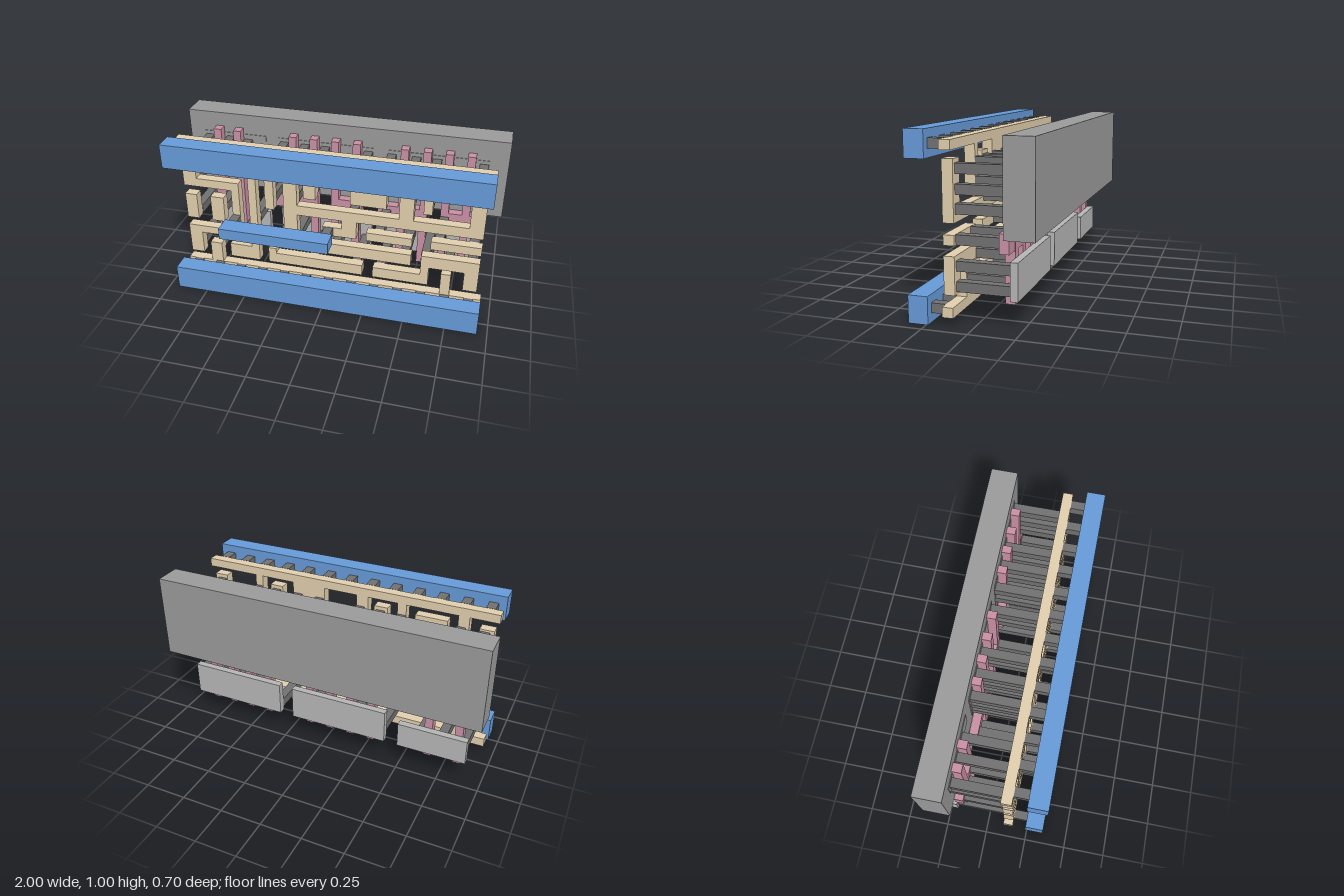
import * as THREE from 'three';

const paint = (color) => new THREE.MeshStandardMaterial({ color });

export function createModel() {
  const model = new THREE.Group();
  const mats = {
    metal: paint(0x6699d6), strap: paint(0xdfcdac), gate: paint(0xc78fa3),
    via: paint(0x707070), well: paint(0x999999), plate: paint(0xb4b4b4),
  };

  // A layer is a named group of boxes sharing one depth range; each box is [x0, x1, y0, y1]
  function layer(name, part, mat, z0, z1, rects) {
    const group = new THREE.Group();
    group.name = name;
    for (const [x0, x1, y0, y1] of rects) {
      const mesh = new THREE.Mesh(new THREE.BoxGeometry(x1 - x0, y1 - y0, z1 - z0), mat);
      mesh.position.set((x0 + x1) / 2, (y0 + y1) / 2, (z0 + z1) / 2);
      mesh.name = part;
      group.add(mesh);
    }
    model.add(group);
  }
  // Square post outline around a centre
  const post = ([x, y]) => [x - 0.027, x + 0.027, y - 0.027, y + 0.027];
  // Column of posts: one x with several heights
  const posts = (columns) => columns.flatMap(([x, ...ys]) => ys.map((y) => post([x, y])));

  // Back slab and the thin plates
  layer('backWell', 'wellBlock', mats.well, -0.35, -0.19, [[-1, 1, 0.49, 0.99]]);
  layer('upperPlates', 'upperPlate', mats.well, -0.23, -0.186, [
    [-0.907, -0.493, 0.73, 0.86], [-0.41, 0.2, 0.55, 0.86], [0.287, 0.893, 0.55, 0.86],
  ]);
  layer('lowerPlates', 'lowerPlate', mats.plate, -0.23, -0.188, [
    [-0.907, -0.493, 0.152, 0.305], [-0.41, 0.2, 0.152, 0.355], [0.287, 0.893, 0.152, 0.355],
  ]);

  // Pink gate bars with their joining pads
  const gateX = [-0.305, -0.17, -0.035, 0.1, 0.393, 0.528, 0.658, 0.787];
  layer('gates', 'gateBar', mats.gate, -0.19, -0.135, [
    ...gateX.map((x) => [x - 0.024, x + 0.024, 0.11, 0.9]),
    [-0.82, -0.77, 0.45, 0.9], [-0.87, -0.822, 0.11, 0.45], [-0.69, -0.642, 0.11, 0.9],
  ]);
  layer('gatePads', 'gatePad', mats.gate, -0.189, -0.136, [
    [-0.905, -0.775, 0.395, 0.5], [-0.75, -0.645, 0.41, 0.515], [-0.515, -0.15, 0.395, 0.49],
    [-0.055, 0.14, 0.395, 0.5], [0.24, 0.545, 0.395, 0.5], [0.64, 0.905, 0.395, 0.5],
  ]);

  // Long posts from the plates to the straps
  layer('upperPosts', 'longPost', mats.via, -0.19, 0.1, posts([
    [-0.865, 0.81, 0.67], [-0.725, 0.81], [-0.61, 0.8], [-0.37, 0.81, 0.705, 0.6],
    [-0.235, 0.81, 0.705, 0.6], [-0.105, 0.81, 0.705], [0.165, 0.81, 0.705],
    [0.31, 0.81, 0.705], [0.46, 0.81, 0.705, 0.605], [0.585, 0.81, 0.705],
    [0.86, 0.81, 0.705, 0.605],
  ]));
  layer('lowerPosts', 'longPost', mats.via, -0.19, 0.1, posts([
    [-0.865, 0.21], [-0.735, 0.21], [-0.61, 0.21], [-0.37, 0.205], [-0.235, 0.31],
    [-0.105, 0.202], [0.03, 0.31], [0.165, 0.202], [0.315, 0.202], [0.46, 0.31],
    [0.585, 0.31, 0.202], [0.72, 0.205], [0.86, 0.31, 0.202],
  ]));
  // Shorter posts standing on the gate pads
  layer('middlePosts', 'padPost', mats.via, -0.135, 0.1, posts([
    [-0.865, 0.445], [-0.705, 0.472], [-0.475, 0.445], [0.1, 0.447],
    [0.3, 0.447], [0.66, 0.447], [0.86, 0.447],
  ]));

  // Tan straps: rails, branches and bent runs
  layer('straps', 'strap', mats.strap, 0.1, 0.16, [
    // rails
    [-0.94, 0.94, 0.05, 0.105], [-0.94, 0.94, 0.905, 0.957],
    // branches off the rails
    [-0.77, -0.705, 0.765, 0.905], [-0.395, -0.34, 0.55, 0.905], [-0.155, -0.08, 0.655, 0.905],
    [0.13, 0.345, 0.655, 0.905], [0.56, 0.61, 0.655, 0.905],
    [-0.78, -0.705, 0.105, 0.245], [0.69, 0.75, 0.105, 0.255],
    // outer left run
    [-0.915, -0.83, 0.7, 0.85], [-0.915, -0.56, 0.645, 0.7], [-0.61, -0.56, 0.36, 0.645],
    [-0.915, -0.56, 0.31, 0.36], [-0.915, -0.83, 0.16, 0.31],
    // left islands
    [-0.915, -0.84, 0.415, 0.585], [-0.75, -0.665, 0.415, 0.585],
    // inner left run
    [-0.645, -0.5, 0.755, 0.855], [-0.5, -0.45, 0.16, 0.855], [-0.645, -0.5, 0.16, 0.255],
    // comb
    [-0.28, 0.91, 0.535, 0.6], [-0.28, -0.195, 0.6, 0.86], [-0.28, -0.195, 0.285, 0.535],
    [0.42, 0.505, 0.6, 0.86], [0.825, 0.91, 0.6, 0.86], [0.08, 0.17, 0.42, 0.535],
    // centre and right islands
    [-0.04, 0.08, 0.42, 0.48], [0.23, 0.505, 0.42, 0.475], [0.615, 0.91, 0.42, 0.475],
    [-0.02, 0.505, 0.285, 0.36],
    // lower centre run
    [-0.39, 0.21, 0.16, 0.23], [-0.39, -0.34, 0.23, 0.265],
    // lower right run
    [0.275, 0.565, 0.16, 0.23], [0.565, 0.615, 0.16, 0.365], [0.615, 0.825, 0.285, 0.365],
    [0.825, 0.91, 0.16, 0.365],
  ]);

  // Short studs between the straps and the blue bars
  const studs = [[-0.585, 0.45], [0, 0.45]];
  for (let i = -6; i <= 6; i++) studs.push([i * 0.1445, 0.078], [i * 0.1445, 0.931]);
  layer('studs', 'stud', mats.via, 0.16, 0.24, studs.map(post));

  // Blue front bars
  layer('frontBars', 'frontBar', mats.metal, 0.24, 0.35, [
    [-0.94, 0.94, 0, 0.152], [-0.94, 0.94, 0.857, 1.005], [-0.63, 0.042, 0.416, 0.486],
  ]);

  return model;
}
